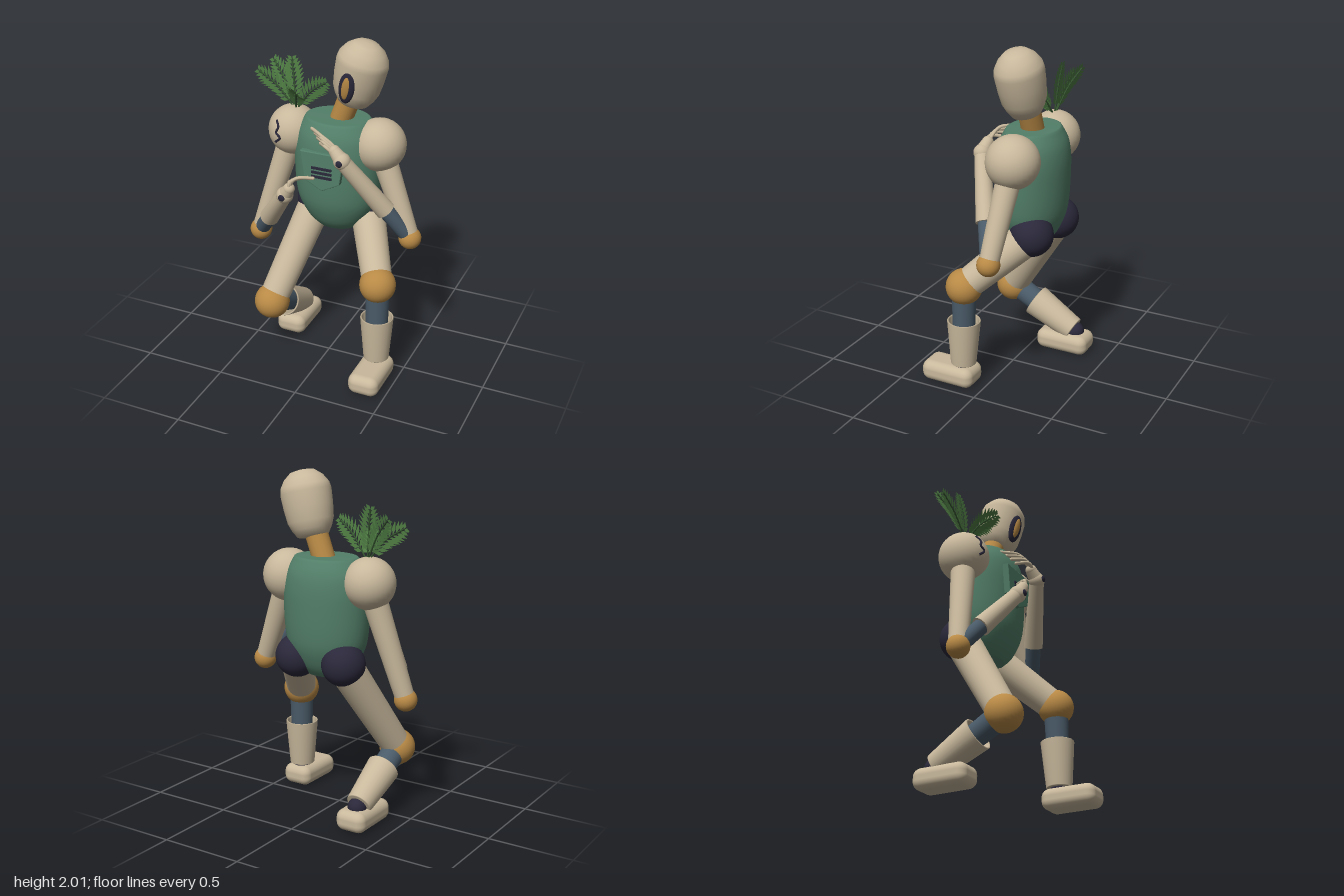
import * as THREE from 'three';
import { RoundedBoxGeometry } from 'three/addons/geometries/RoundedBoxGeometry.js';

const V = (x, y, z) => new THREE.Vector3(x, y, z);
const V2 = (x, y) => new THREE.Vector2(x, y);

function paint(name, hex) {
  const m = new THREE.MeshStandardMaterial({ color: hex });
  m.name = name;
  return m;
}

export function createModel() {
  const cream = paint('cream shell', 0xc8b89c);
  const green = paint('torso green', 0x537f69);
  const amber = paint('amber joint', 0xb98a46);
  const steel = paint('steel blue', 0x4a5b69);
  const dark = paint('dark navy', 0x2a283a);
  const leaf = paint('leaf green', 0x4f7d43);
  leaf.side = THREE.DoubleSide;
  const stemGreen = paint('stem green', 0x35552f);

  const root = new THREE.Group();
  root.name = 'mannequin';

  function add(name, geo, mat, pos, parent = root) {
    const m = new THREE.Mesh(geo, mat);
    m.name = name;
    if (pos) m.position.copy(pos);
    parent.add(m);
    return m;
  }
  const ball = (name, p, r, mat, parent) => add(name, new THREE.SphereGeometry(r, 32, 20), mat, p, parent);

  // Turn a mesh whose axis is +y so it runs along a-b
  function aim(mesh, a, b) {
    mesh.quaternion.setFromUnitVectors(V(0, 1, 0), b.clone().sub(a).normalize());
    return mesh;
  }
  // Tapered limb from a to b
  function limb(name, a, b, ra, rb, mat) {
    const g = new THREE.CylinderGeometry(rb, ra, a.distanceTo(b), 28);
    return aim(add(name, g, mat, a.clone().lerp(b, 0.5)), a, b);
  }
  // Hollow sleeve: base at a, open rim at b
  function sleeve(name, a, b, ra, rb, mat) {
    const h = a.distanceTo(b), t = 0.012;
    const pts = [V2(0, 0), V2(ra - 0.004, 0), V2(ra, 0.004), V2(rb, h - 0.004),
      V2(rb - 0.004, h), V2(rb - t, h - 0.004), V2(ra - t, 0.01)];
    return aim(add(name, new THREE.LatheGeometry(pts, 28), mat, a), a, b);
  }
  const tube = (name, pts, r, mat, n = 16) =>
    add(name, new THREE.TubeGeometry(new THREE.CatmullRomCurve3(pts), n, r, 8), mat);

  // Torso: barrel, shallower front to back
  const torsoCurve = new THREE.SplineCurve([V2(0.12, 0.842), V2(0.18, 0.9), V2(0.235, 1.0), V2(0.256, 1.1),
    V2(0.264, 1.25), V2(0.262, 1.36), V2(0.242, 1.45), V2(0.195, 1.525)]);
  const torsoPts = [V2(0, 0.84), V2(0.112, 0.84), ...torsoCurve.getPoints(28), V2(0.185, 1.53), V2(0, 1.53)];
  const torso = add('torso', new THREE.LatheGeometry(torsoPts, 48), green, V(0, 0, -0.13));
  torso.scale.z = 0.77;

  // Chest pocket with three slots
  const pocket = new THREE.Shape([V2(-0.14, 1.37), V2(-0.115, 1.2), V2(-0.01, 1.145), V2(0.095, 1.2), V2(0.12, 1.37)]);
  add('chestPocket', new THREE.ExtrudeGeometry(pocket, {
    depth: 0.03, bevelEnabled: true, bevelThickness: 0.005, bevelSize: 0.005, bevelSegments: 2,
  }), green, V(0, 0, 0.053));
  for (const y of [1.282, 1.255, 1.228])
    add('pocketSlot', new THREE.BoxGeometry(0.125, 0.014, 0.009), dark, V(-0.01, y, 0.092));

  // Neck and tilted head
  limb('neck', V(0.0, 1.47, -0.135), V(0.095, 1.72, -0.13), 0.066, 0.066, amber);
  const head = new THREE.Group();
  head.name = 'head';
  head.position.set(0.09, 1.632, -0.13);
  head.quaternion.setFromUnitVectors(V(0, 1, 0), V(0.24, 0.965, 0.06).normalize());
  root.add(head);
  const skullPts = [V2(0, -0.006), V2(0.06, -0.005), V2(0.092, 0.004), V2(0.118, 0.045), V2(0.136, 0.09), V2(0.146, 0.17),
    V2(0.151, 0.255), V2(0.144, 0.29), V2(0.115, 0.335), V2(0.072, 0.37), V2(0.03, 0.378), V2(0, 0.379)];
  const skull = add('skull', new THREE.LatheGeometry(skullPts, 36), cream, V(0, 0, 0), head);
  skull.scale.z = 0.92;
  const face = new THREE.Group();
  face.name = 'facePlate';
  face.rotation.y = -0.15;
  head.add(face);
  const rim = ball('faceRim', V(0, 0.135, 0.122), 1, dark, face);
  rim.scale.set(0.05, 0.102, 0.02);
  const lens = ball('faceInset', V(0, 0.135, 0.128), 1, amber, face);
  lens.scale.set(0.03, 0.08, 0.019);
  rim.rotation.x = lens.rotation.x = 0.1;

  // Arms: shoulder, upper arm, elbow, forearm, wrist and four curved fingers
  const arms = [
    { side: 'left', shoulder: V(0.258, 1.395, -0.13), r: 0.155, elbow: V(0.475, 0.855, -0.09), wrist: V(0.135, 1.375, 0.13),
      palm: V(0.085, 1.425, 0.12), lift: V(0.0, 0.025, 0.03),
      tips: [V(-0.1, 1.488, 0.015), V(-0.07, 1.473, 0.035), V(-0.045, 1.455, 0.055), V(-0.02, 1.435, 0.075)] },
    { side: 'right', shoulder: V(-0.285, 1.4, -0.13), r: 0.15, elbow: V(-0.475, 0.735, -0.04), wrist: V(-0.2, 1.12, 0.18),
      palm: V(-0.165, 1.175, 0.195), lift: V(-0.01, 0.03, 0.025),
      tips: [V(-0.04, 1.24, 0.14), V(-0.075, 1.238, 0.14), V(-0.11, 1.23, 0.145), V(-0.14, 1.22, 0.15)] },
  ];
  for (const a of arms) {
    const s = a.side;
    const at = (t) => a.elbow.clone().lerp(a.wrist, t);
    ball(s + 'Shoulder', a.shoulder, a.r, cream);
    limb(s + 'UpperArm', a.shoulder, a.elbow, 0.075, 0.056, cream);
    ball(s + 'Elbow', a.elbow, 0.067, amber);
    limb(s + 'ForearmCore', a.elbow, at(0.5), 0.046, 0.046, steel);
    limb(s + 'Forearm', at(0.37), at(0.98), 0.058, 0.045, cream);
    ball(s + 'Wrist', a.wrist, 0.05, cream);
    const pin = ball(s + 'WristPin', a.wrist.clone().add(V(0, 0, 0.046)), 0.02, dark);
    pin.scale.z = 0.45;
    limb(s + 'Palm', a.wrist, a.palm, 0.046, 0.034, cream);
    ball(s + 'PalmEnd', a.palm, 0.034, cream);
    a.tips.forEach((tip, i) => {
      const base = a.palm.clone().add(V(0.004 * (i - 1.5), 0.012 * (1.5 - i), 0.008 * (i - 1.5)));
      const mid = base.clone().lerp(tip, 0.5).add(a.lift);
      tube(s + 'Finger', [a.wrist, base, mid, tip], 0.0105, cream);
      ball(s + 'Fingertip', tip, 0.0105, cream);
    });
  }

  // Legs: hip, thigh, knee, shin core, hollow shin sleeve, ankle and foot
  const legs = [
    { side: 'left', hip: V(0.16, 0.94, -0.2), knee: V(0.365, 0.63, 0.13), ankle: V(0.37, 0.12, 0.14), rimAt: 0.42,
      foot: V(0.371, 0.0625, 0.22) },
    { side: 'right', hip: V(-0.165, 0.935, -0.21), knee: V(-0.312, 0.365, 0.155), ankle: V(-0.305, 0.13, -0.28), rimAt: 0.36,
      foot: V(-0.302, 0.0625, -0.213) },
  ];
  for (const l of legs) {
    const s = l.side;
    const at = (t) => l.knee.clone().lerp(l.ankle, t);
    ball(s + 'Hip', l.hip, 0.127, dark);
    limb(s + 'Thigh', l.hip.clone().lerp(l.knee, 0.1), l.knee, 0.102, 0.088, cream);
    ball(s + 'Knee', l.knee, 0.107, amber);
    limb(s + 'ShinCore', l.knee, at(0.9), 0.073, 0.06, steel);
    sleeve(s + 'ShinSleeve', at(0.97), at(l.rimAt), 0.076, 0.099, cream);
    ball(s + 'Ankle', l.ankle, 0.055, dark);
    add(s + 'Foot', new RoundedBoxGeometry(0.188, 0.125, 0.335, 5, 0.05), cream, l.foot);
  }

  // Crack following the right shoulder
  const rs = arms[1].shoulder;
  const crack = [[-0.34, 1.485], [-0.32, 1.455], [-0.332, 1.42], [-0.305, 1.395], [-0.34, 1.358]].map(([x, y]) =>
    V(x, y, rs.z + Math.sqrt(0.15 ** 2 - (x - rs.x) ** 2 - (y - rs.y) ** 2)));
  tube('shoulderCrack', crack, 0.0075, dark, 24);

  // Fern fronds growing from the right shoulder
  function frond(base, tip) {
    const mid = base.clone().lerp(tip, 0.5).add(V(0, 0.03, 0));
    const curve = new THREE.CatmullRomCurve3([base, mid, tip]);
    tube('frondStem', [base, mid, tip], 0.005, stemGreen, 12);
    const pos = [], n = 10;
    for (let i = 0; i < n; i++) {
      const t = 0.22 + 0.76 * i / (n - 1);
      const p = curve.getPointAt(t), d = curve.getTangentAt(t);
      const side = d.clone().cross(V(0, 0, 1)).normalize();
      const len = 0.085 * Math.sin(Math.PI * (0.22 + 0.66 * i / (n - 1))) + 0.008;
      for (const k of [1, -1]) {
        const dir = side.clone().multiplyScalar(0.75 * k).addScaledVector(d, 0.66).normalize();
        const w = d.clone().multiplyScalar(0.62).addScaledVector(side, -0.6 * k).normalize().multiplyScalar(0.012);
        const c = p.clone().addScaledVector(dir, len * 0.45);
        const e = p.clone().addScaledVector(dir, len);
        const u = c.clone().add(w), v = c.clone().sub(w);
        for (const q of [p, u, e, p, e, v]) pos.push(q.x, q.y, q.z);
      }
    }
    const g = new THREE.BufferGeometry();
    g.setAttribute('position', new THREE.Float32BufferAttribute(pos, 3));
    g.computeVertexNormals();
    add('frondLeaflets', g, leaf);
  }
  const roots = V(-0.27, 1.52, -0.13);
  for (const tip of [V(-0.51, 1.725, -0.14), V(-0.45, 1.775, -0.22), V(-0.305, 1.82, -0.16),
    V(-0.06, 1.735, -0.085), V(-0.19, 1.69, 0.03)])
    frond(roots, tip);

  return root;
}
